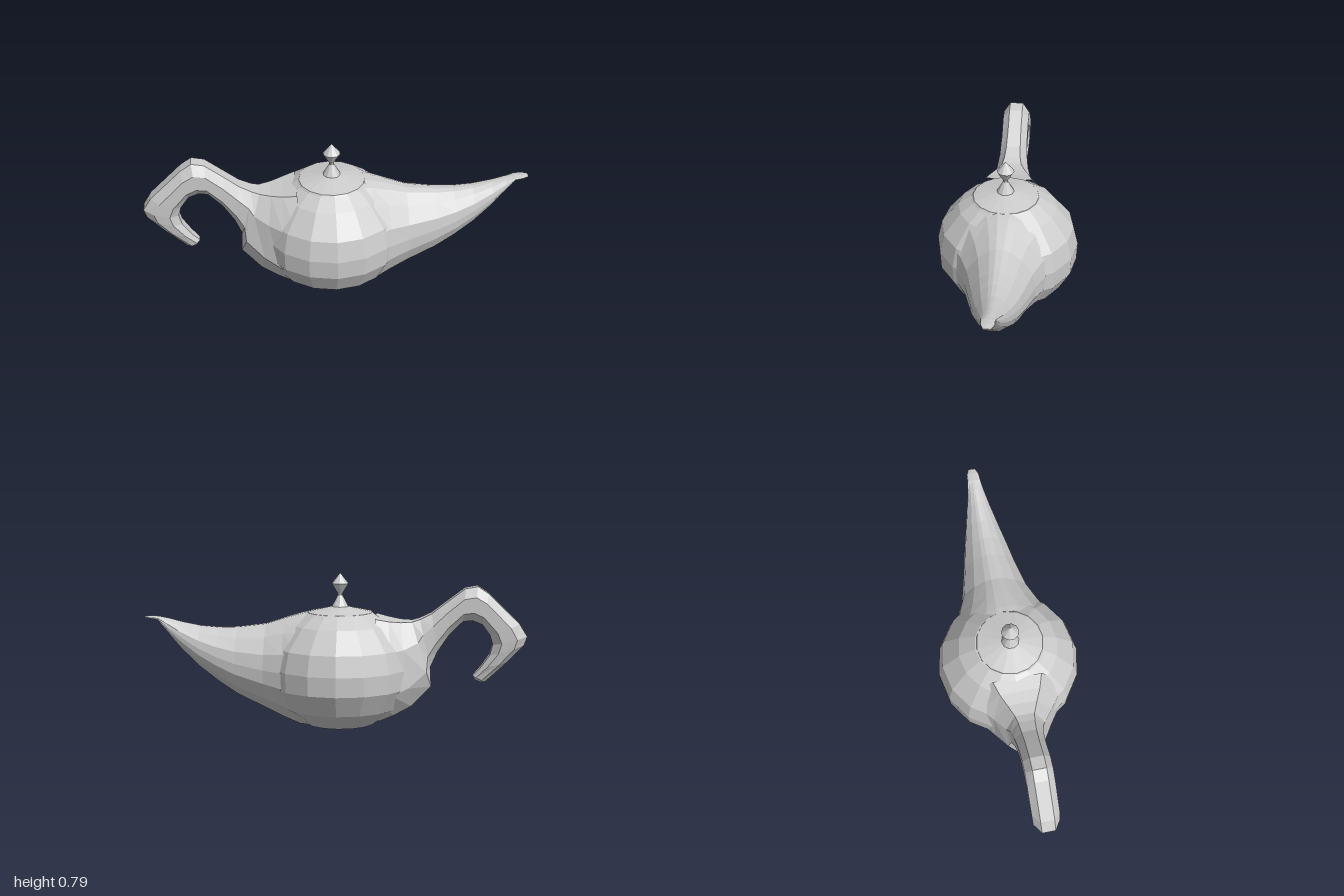
import * as THREE from 'three';

const material = new THREE.MeshStandardMaterial({ color: 0xcccccc, flatShading: true });

function addMesh(group, name, geometry, x = 0, z = 0) {
  const mesh = new THREE.Mesh(geometry, material);
  mesh.name = name;
  mesh.position.set(x, 0, z);
  group.add(mesh);
}

// Lathe from [radius, height] pairs
function lathe(profile, sides) {
  return new THREE.LatheGeometry(profile.map(([r, y]) => new THREE.Vector2(r, y)), sides);
}

// Skin over closed rings of equal length, with a cap on the last ring
function loft(rings) {
  const n = rings[0].length;
  const points = rings.flat();
  const index = [];
  for (let i = 0; i < rings.length - 1; i++) {
    for (let j = 0; j < n; j++) {
      const a = i * n + j, b = i * n + (j + 1) % n;
      index.push(a, a + n, b, b, a + n, b + n);
    }
  }
  const last = rings[rings.length - 1];
  const centre = last.reduce((s, p) => s.add(p), new THREE.Vector3()).divideScalar(n);
  const start = points.length - n;
  for (let j = 0; j < n; j++) index.push(start + (j + 1) % n, start + j, points.length);
  const geometry = new THREE.BufferGeometry().setFromPoints([...points, centre]);
  geometry.setIndex(index);
  geometry.computeVertexNormals();
  return geometry;
}

// Ring between a low and a high point; shape holds [fraction of the way, fraction of half width]
function ring(low, high, halfWidth, shape, side) {
  const at = (t, w) => new THREE.Vector3(
    THREE.MathUtils.lerp(low[0], high[0], t),
    THREE.MathUtils.lerp(low[1], high[1], t),
    w * halfWidth * side);
  return [
    ...shape.map(([t, w]) => at(t, w)),
    ...shape.slice().reverse().map(([t, w]) => at(t, -w)),
  ];
}

export function createModel() {
  const group = new THREE.Group();
  group.name = 'oilLamp';
  const cx = -0.035;

  // Round bowl with a flat foot
  addMesh(group, 'body', lathe([
    [0, 0], [0.185, 0], [0.305, 0.09], [0.365, 0.2], [0.37, 0.3],
    [0.345, 0.405], [0.255, 0.52], [0.17, 0.58], [0, 0.6],
  ], 16), cx, 0.003);

  // Shallow lid
  addMesh(group, 'lid', lathe([[0.178, 0.572], [0.17, 0.582], [0.045, 0.61], [0, 0.612]], 16), cx, 0.012);

  // Pointed knob
  addMesh(group, 'knob', lathe([
    [0.046, 0.608], [0.013, 0.668], [0.013, 0.678], [0.045, 0.73], [0, 0.785],
  ], 10), cx, 0.014);

  // Spout: x, underside, top, half width
  const spoutShape = [
    [0, 0.3], [0.15, 0.75], [0.34, 0.98], [0.5, 1], [0.68, 0.92], [0.87, 0.6], [0.97, 0.28], [1, 0.1],
  ];
  const spout = [
    [0.08, 0.003, 0.592, 0.34], [0.165, 0.003, 0.575, 0.285], [0.25, 0.035, 0.55, 0.228],
    [0.35, 0.08, 0.517, 0.182], [0.5, 0.15, 0.498, 0.143], [0.6, 0.215, 0.495, 0.12],
    [0.7, 0.29, 0.503, 0.093], [0.8, 0.385, 0.523, 0.065], [0.87, 0.465, 0.541, 0.046],
    [0.92, 0.53, 0.55, 0.035], [0.96, 0.537, 0.552, 0.032], [0.99, 0.542, 0.549, 0.018],
  ].map(([x, bottom, top, w]) => ring([x, bottom], [x, top], w, spoutShape, 1));
  addMesh(group, 'spout', loft(spout), 0, 0.01);

  // Hooked handle growing out of the back: inner point, outer point, half width
  const handleShape = [[0, 0.45], [0.25, 1], [0.7, 1], [1, 0.5]];
  const handle = [
    [[-0.24, 0.025], [-0.22, 0.56], 0.25], [[-0.32, 0.055], [-0.29, 0.545], 0.205],
    [[-0.41, 0.1], [-0.35, 0.537], 0.15], [[-0.51, 0.2], [-0.41, 0.537], 0.1],
    [[-0.505, 0.3], [-0.45, 0.55], 0.085], [[-0.54, 0.38], [-0.51, 0.58], 0.075],
    [[-0.6, 0.47], [-0.59, 0.642], 0.07], [[-0.67, 0.54], [-0.68, 0.71], 0.07],
    [[-0.72, 0.545], [-0.745, 0.722], 0.07], [[-0.77, 0.525], [-0.8, 0.685], 0.07],
    [[-0.81, 0.47], [-0.96, 0.53], 0.07], [[-0.825, 0.42], [-1, 0.465], 0.068],
    [[-0.81, 0.365], [-0.985, 0.42], 0.064], [[-0.765, 0.3], [-0.9, 0.33], 0.055],
    [[-0.725, 0.255], [-0.79, 0.225], 0.038], [[-0.735, 0.235], [-0.775, 0.22], 0.025],
  ].map(([inner, outer, w]) => ring(inner, outer, w, handleShape, -1));
  addMesh(group, 'handle', loft(handle), 0, 0.013);

  return group;
}
